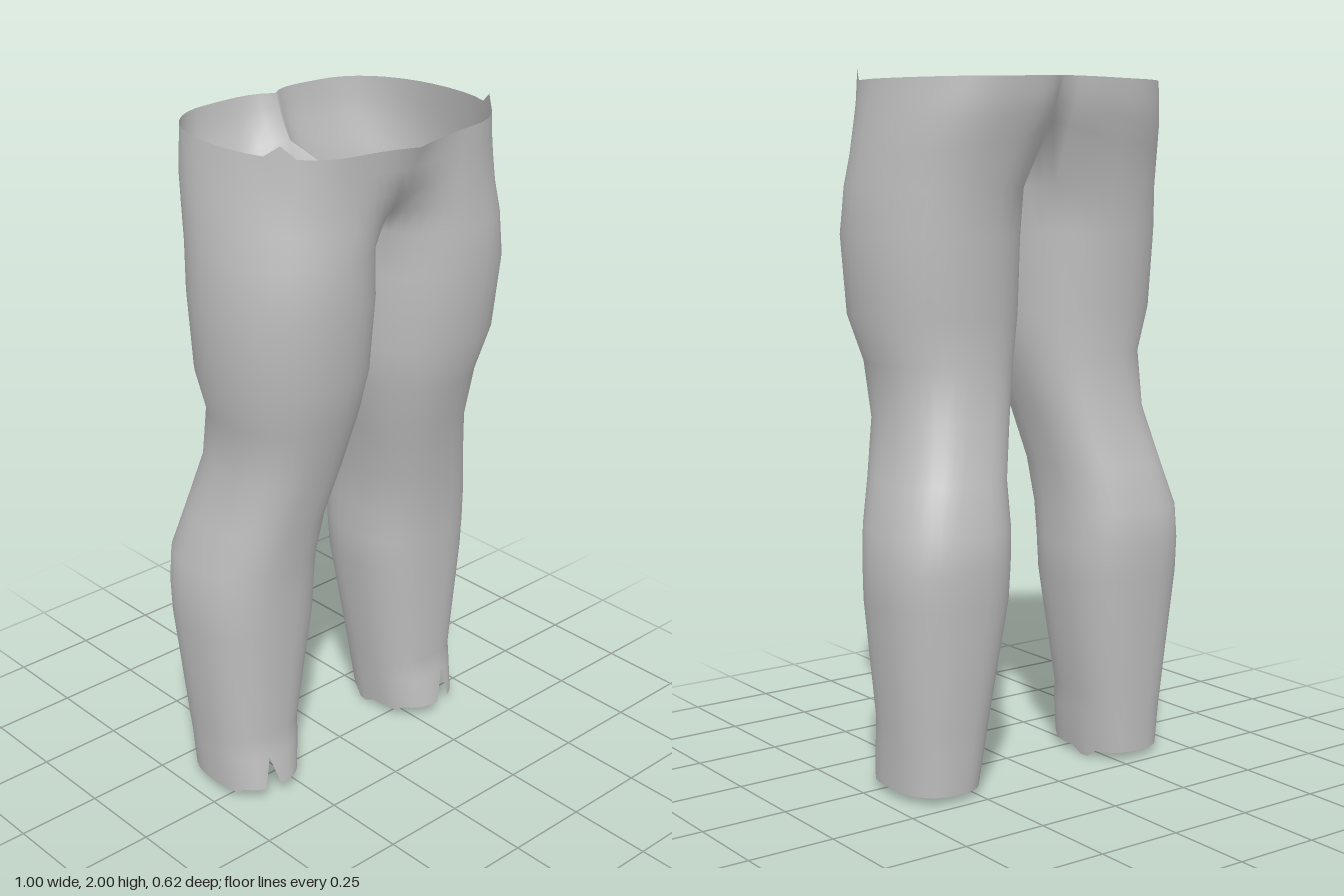
import * as THREE from 'three';
import { mergeVertices } from 'three/addons/utils/BufferGeometryUtils.js';

const OUTER = 31;   // columns from back seam round the outside to front seam
const COLS = 36;    // the other five columns close the inner thigh

// Leg sections: y, inner x, outer x, back z, front z
const LEG = [
  [0.02, 0.200, 0.450, -0.220, 0.102],
  [0.14, 0.182, 0.457, -0.230, 0.090],
  [0.20, 0.175, 0.462, -0.236, 0.080],
  [0.55, 0.115, 0.498, -0.272, 0.105],
  [0.65, 0.112, 0.498, -0.280, 0.112],
  [0.75, 0.110, 0.490, -0.280, 0.122],
  [0.88, 0.103, 0.455, -0.246, 0.145],
  [1.04, 0.066, 0.417, -0.207, 0.180],
  [1.20, 0.026, 0.428, -0.196, 0.228],
  [1.33, 0.006, 0.470, -0.206, 0.262],
  [1.55, 0.004, 0.480, -0.225, 0.290],
  [1.68, 0.004, 0.468, -0.242, 0.287],
];

// Hip sections: front y, side y, back y, outer x, back z, front z, back seam z, front seam z
const HIPS = [
  [1.75, 1.77, 1.86, 0.455, -0.275, 0.285, -0.205, 0.195],
  [1.82, 1.85, 1.91, 0.442, -0.297, 0.284, -0.235, 0.262],
  [1.89, 1.91, 1.945, 0.430, -0.306, 0.286, -0.250, 0.285],
  [1.95, 1.97, 1.98, 0.420, -0.311, 0.290, -0.262, 0.308],
];

const bend = (v, n) => Math.sign(v) * Math.pow(Math.abs(v), 2 / n);
const angleOf = (j) => -150 + j * 10;

function legPoint(row, j, isHem) {
  const [y, xi, xo, zb, zf] = row;
  const deg = angleOf(j), a = THREE.MathUtils.degToRad(deg);
  const n = y > 1.1 ? 2.15 : 2.45;
  const p = [
    (xi + xo) / 2 + (xo - xi) / 2 * bend(Math.cos(a), n),
    y,
    (zf + zb) / 2 + (zf - zb) / 2 * bend(Math.sin(a), n),
  ];
  if (isHem) {
    if (deg === 80) { p[1] = 0.13; p[2] -= 0.015; }     // small slit at the front
    else if (deg > 30 && deg < 150) p[1] = 0.035;       // front edge slightly raised
    else if (deg === 190 || deg === 200) p[1] = 0;      // dip at the inner back
  }
  return p;
}

function hipPoint(row, j, isRim) {
  const [yf, ys, yb, xo, zb, zf, seamB, seamF] = row;
  const deg = angleOf(j), a = THREE.MathUtils.degToRad(deg);
  const s = deg / 150;
  let y = THREE.MathUtils.lerp(ys, s > 0 ? yf : yb, s * s);
  if (isRim && deg === 40) y = 2;                       // little peak on the waistband
  const mid = 0.2;
  if (Math.abs(deg) <= 90) {
    const c = (zf + zb) / 2, r = (zf - zb) / 2;
    return [mid + (xo - mid) * bend(Math.cos(a), 2.2), y, c + r * bend(Math.sin(a), 2.2)];
  }
  // From the fullest point in to the centre seam
  const u = (Math.abs(deg) - 90) / 60;
  const z = deg > 0 ? THREE.MathUtils.lerp(zf, seamF, u * u) : THREE.MathUtils.lerp(zb, seamB, u ** 4);
  return [mid * (1 - u), y, z];
}

// Crotch line joining the front seam to the back seam
function crotchPoint(row, j) {
  const t = (j - OUTER + 1) / (COLS - OUTER + 1);
  return [0, THREE.MathUtils.lerp(row[0], row[2], t), THREE.MathUtils.lerp(row[7], row[6], t)];
}

function buildTrousers() {
  const positions = [], index = [];
  const rows = LEG.length + HIPS.length;
  for (const side of [1, -1]) {
    const base = positions.length / 3;
    for (let i = 0; i < rows; i++) {
      for (let j = 0; j < COLS; j++) {
        const h = i - LEG.length;
        const p = h < 0 ? legPoint(LEG[i], j, i === 0)
          : j < OUTER ? hipPoint(HIPS[h], j, i === rows - 1)
          : crotchPoint(HIPS[0], j);
        positions.push(p[0] * side, p[1], p[2]);
      }
    }
    for (let i = 0; i < rows - 1; i++) {
      const count = i < LEG.length ? COLS : OUTER - 1;
      for (let j = 0; j < count; j++) {
        const k = (j + 1) % COLS;
        const a = base + i * COLS + j, b = a + COLS;
        const c = base + i * COLS + k, d = c + COLS;
        if (side > 0) index.push(a, b, c, b, d, c);
        else index.push(a, c, b, b, c, d);
      }
    }
  }
  const geo = new THREE.BufferGeometry();
  geo.setAttribute('position', new THREE.Float32BufferAttribute(positions, 3));
  geo.setIndex(index);
  const welded = mergeVertices(geo, 1e-4);   // weld the two halves along the seams
  welded.computeVertexNormals();
  return welded;
}

export function createModel() {
  const cloth = new THREE.MeshStandardMaterial({ color: 0xc0c0c0, side: THREE.DoubleSide });
  cloth.name = 'grey cloth';
  const group = new THREE.Group();
  group.name = 'trousers';
  const mesh = new THREE.Mesh(buildTrousers(), cloth);
  mesh.name = 'trouserShell';
  group.add(mesh);
  return group;
}
